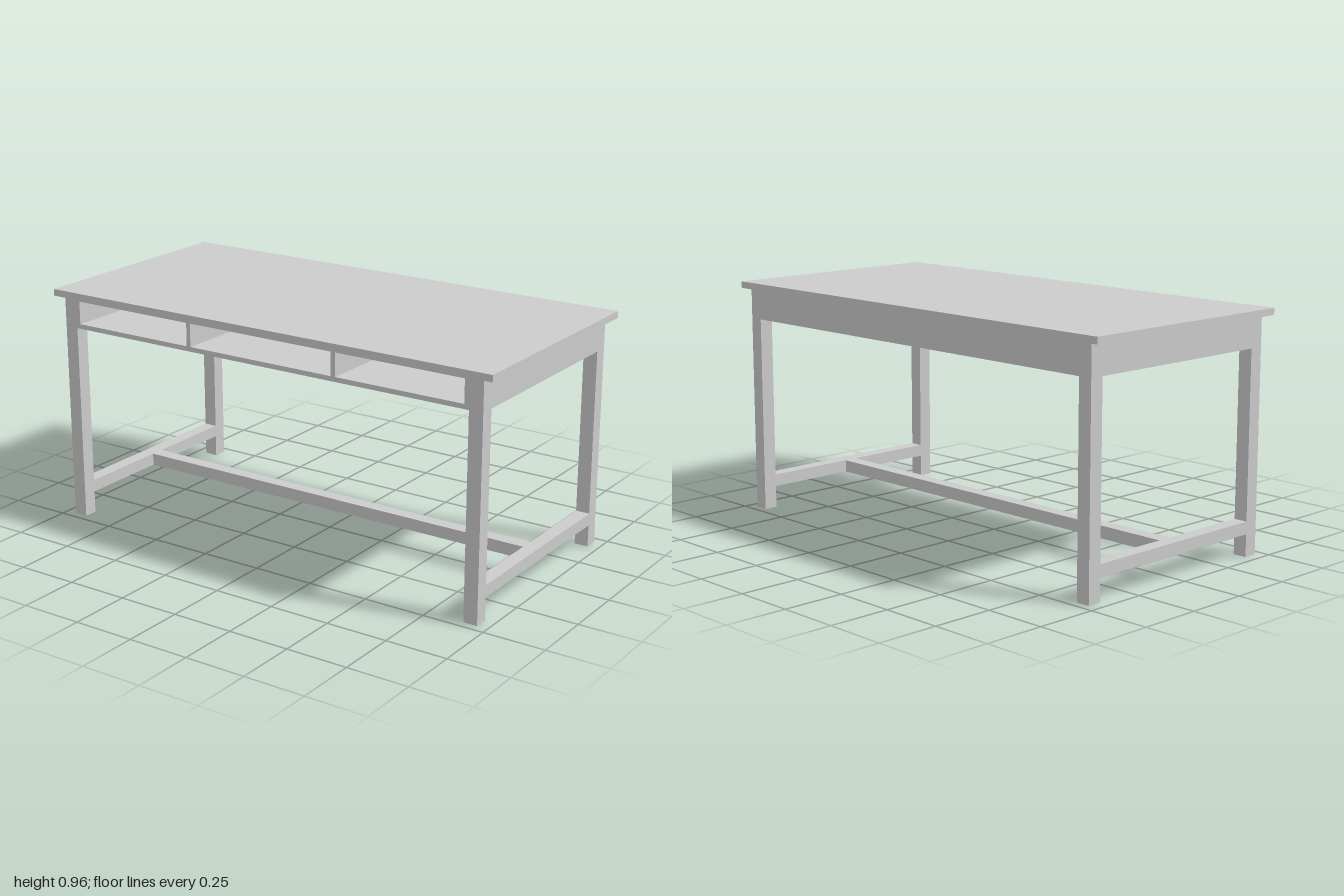
import * as THREE from 'three';

const material = new THREE.MeshStandardMaterial({ color: 0xcccccc });

// Outer faces of the legs, leg thickness, and main heights
const LEG_X = 0.957, LEG_Z = 0.467, LEG = 0.057;
const IN_X = LEG_X - LEG, IN_Z = LEG_Z - LEG;
const CASE_BOTTOM = 0.807, TOP_BOTTOM = 0.93, TOP = 0.957;

// Box given by its extents along each axis
function box(name, [x0, x1], [y0, y1], [z0, z1]) {
  const mesh = new THREE.Mesh(new THREE.BoxGeometry(x1 - x0, y1 - y0, z1 - z0), material);
  mesh.position.set((x0 + x1) / 2, (y0 + y1) / 2, (z0 + z1) / 2);
  mesh.name = name;
  return mesh;
}

function rectangle(path, x0, x1, y0, y1) {
  path.moveTo(x0, y0);
  path.lineTo(x1, y0);
  path.lineTo(x1, y1);
  path.lineTo(x0, y1);
  path.closePath();
  return path;
}

// Case under the top with three open compartments, closed behind by the back apron
function storageCase() {
  const shape = rectangle(new THREE.Shape(), -IN_X, IN_X, CASE_BOTTOM, TOP_BOTTOM);
  for (const [x0, x1] of [[-0.883, -0.343], [-0.325, 0.322], [0.341, 0.881]]) {
    shape.holes.push(rectangle(new THREE.Path(), x0, x1, 0.826, 0.919));
  }
  const geometry = new THREE.ExtrudeGeometry(shape, { depth: LEG_Z + IN_Z, bevelEnabled: false });
  geometry.translate(0, 0, -IN_Z);
  const mesh = new THREE.Mesh(geometry, material);
  mesh.name = 'storageCase';
  return mesh;
}

export function createModel() {
  const table = new THREE.Group();
  table.name = 'table';

  table.add(box('tableTop', [-1, 1], [TOP_BOTTOM, TOP], [-0.485, 0.485]));
  table.add(storageCase());
  table.add(box('backApron', [-IN_X, IN_X], [CASE_BOTTOM, TOP_BOTTOM], [-LEG_Z, -IN_Z]));

  // Each end: two legs, an apron and a low stretcher, all flush outside
  for (const [side, s] of [['left', 1], ['right', -1]]) {
    const xs = s > 0 ? [IN_X, LEG_X] : [-LEG_X, -IN_X];
    table.add(box(side + 'FrontLeg', xs, [0, TOP_BOTTOM], [IN_Z, LEG_Z]));
    table.add(box(side + 'BackLeg', xs, [0, TOP_BOTTOM], [-LEG_Z, -IN_Z]));
    table.add(box(side + 'Apron', xs, [CASE_BOTTOM, TOP_BOTTOM], [-IN_Z, IN_Z]));
    table.add(box(side + 'Stretcher', xs, [0.09, 0.14], [-IN_Z, IN_Z]));
  }

  // Long stretcher joining the two ends
  table.add(box('longStretcher', [-IN_X, IN_X], [0.09, 0.14], [-LEG / 2, LEG / 2]));
  return table;
}
